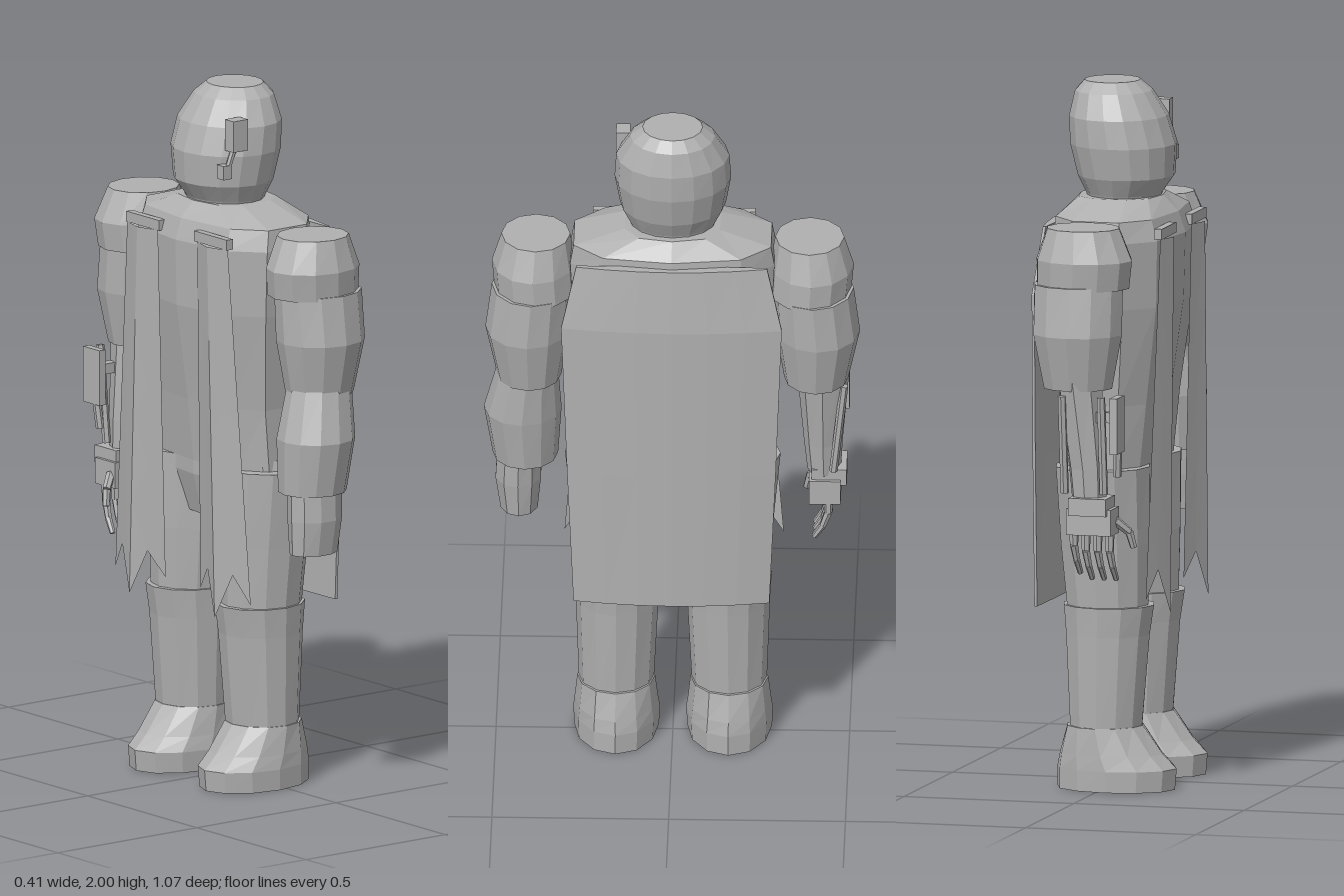
import * as THREE from 'three';

const grey = new THREE.MeshStandardMaterial({ color: 0xb0b0b0, flatShading: true });
grey.name = 'grey';
const greyCloth = grey.clone();
greyCloth.name = 'grey cloth';
greyCloth.side = THREE.DoubleSide;

// Closed skin over equal-length point rings, ordered bottom to top, each turning from +x to +z
function skin(rings) {
  const n = rings[0].length, pos = [], idx = [];
  rings.forEach(r => r.forEach(p => pos.push(...p)));
  for (let j = 0; j < rings.length - 1; j++) {
    for (let i = 0; i < n; i++) {
      const a = j * n + i, b = j * n + (i + 1) % n;
      idx.push(a, a + n, b, b, a + n, b + n);
    }
  }
  [0, rings.length - 1].forEach(j => {
    const c = pos.length / 3;
    pos.push(...[0, 1, 2].map(k => rings[j].reduce((s, p) => s + p[k], 0) / n));
    for (let i = 0; i < n; i++) {
      const a = j * n + i, b = j * n + (i + 1) % n;
      if (j === 0) idx.push(c, a, b); else idx.push(c, b, a);
    }
  });
  const g = new THREE.BufferGeometry();
  g.setAttribute('position', new THREE.Float32BufferAttribute(pos, 3));
  g.setIndex(idx);
  const flat = g.toNonIndexed();
  flat.computeVertexNormals();
  return flat;
}

// Rounded body from rows [y, x min, x max, z min, z max]
function loft(rows, sides = 12, power = 1) {
  const bend = v => Math.sign(v) * Math.abs(v) ** power;
  return skin(rows.map(([y, x0, x1, z0, z1]) => Array.from({ length: sides }, (_, i) => {
    const a = i / sides * Math.PI * 2;
    return [(x0 + x1) / 2 + (x1 - x0) / 2 * bend(Math.cos(a)), y,
      (z0 + z1) / 2 + (z1 - z0) / 2 * bend(Math.sin(a))];
  })));
}

// The same rows on the +z (s = 1) or -z (s = -1) side
const side = (rows, s) => rows.map(([y, x0, x1, z0, z1]) =>
  s > 0 ? [y, x0, x1, z0, z1] : [y, x0, x1, -z1, -z0]);

// Thin rod between two points
function rod(a, b, r0, r1 = r0, sides = 6) {
  const p = new THREE.Vector3(...a), d = new THREE.Vector3(...b).sub(p);
  const g = new THREE.CylinderGeometry(r1, r0, d.length(), sides);
  g.applyQuaternion(new THREE.Quaternion().setFromUnitVectors(new THREE.Vector3(0, 1, 0), d.clone().normalize()));
  return g.translate(...p.addScaledVector(d, 0.5).toArray());
}

const box = (w, h, d, x, y, z) => new THREE.BoxGeometry(w, h, d).translate(x, y, z);

export function createModel() {
  const model = new THREE.Group();
  const add = (name, geometry, material = grey) => {
    const m = new THREE.Mesh(geometry, material);
    m.name = name;
    model.add(m);
    return m;
  };

  // Helmet, facing -x
  add('helmet', loft([
    [1.64, -0.1, 0.09, -0.11, 0.11], [1.68, -0.115, 0.1, -0.125, 0.125],
    [1.73, -0.15, 0.125, -0.15, 0.15], [1.82, -0.155, 0.147, -0.165, 0.165],
    [1.9, -0.13, 0.15, -0.16, 0.16], [1.97, -0.085, 0.135, -0.12, 0.12],
    [2.0, -0.05, 0.108, -0.085, 0.085]], 16));
  // Rangefinder on the +z side of the helmet
  add('rangefinder', box(0.052, 0.09, 0.04, -0.077, 1.885, 0.142));
  add('rangefinderStem', rod([-0.085, 1.85, 0.142], [-0.11, 1.77, 0.135], 0.009));
  add('rangefinderPivot', box(0.03, 0.04, 0.03, -0.11, 1.78, 0.13));

  // Torso with sloped shoulders, then hips
  add('torso', loft([
    [0.92, -0.12, 0.14, -0.26, 0.26], [1.1, -0.14, 0.14, -0.26, 0.26],
    [1.38, -0.18, 0.165, -0.29, 0.29], [1.57, -0.185, 0.17, -0.3, 0.3],
    [1.63, -0.165, 0.165, -0.29, 0.29], [1.675, -0.12, 0.12, -0.14, 0.14]], 10, 0.75));
  add('hips', loft([
    [0.76, -0.09, 0.1, -0.2, 0.2], [0.88, -0.12, 0.135, -0.28, 0.28],
    [0.95, -0.12, 0.135, -0.27, 0.27]], 12));

  for (const s of [1, -1]) {
    // Legs
    add('thigh', loft(side([
      [0.5, -0.12, 0.115, 0.045, 0.27], [0.7, -0.125, 0.135, 0.03, 0.285],
      [0.92, -0.125, 0.147, 0.02, 0.305]], s)));
    add('shin', loft(side([
      [0.14, -0.1, 0.105, 0.055, 0.265], [0.44, -0.125, 0.12, 0.04, 0.275]], s)));
    add('kneeBand', loft(side([
      [0.44, -0.125, 0.12, 0.04, 0.275], [0.525, -0.138, 0.127, 0.037, 0.28]], s)));
    add('boot', loft(side([
      [0, -0.2, 0.145, 0.04, 0.28], [0.06, -0.205, 0.145, 0.037, 0.282],
      [0.1, -0.165, 0.137, 0.042, 0.278], [0.18, -0.105, 0.115, 0.05, 0.27]], s)));
    // Shoulders and upper arms
    add('shoulder', loft(side([
      [1.46, -0.13, 0.14, 0.27, 0.505], [1.54, -0.14, 0.14, 0.275, 0.512],
      [1.63, -0.1, 0.11, 0.29, 0.485]], s)));
    add('upperArm', loft(side([
      [1.175, -0.085, 0.115, 0.315, 0.497], [1.33, -0.115, 0.145, 0.29, 0.53],
      [1.47, -0.115, 0.145, 0.285, 0.512]], s)));

    // Hanging front strip: folded along the middle, notched at the hem
    const strip = new THREE.PlaneGeometry(1, 1, 4, 4), p = strip.attributes.position;
    const hem = [0.57, 0.64, 0.51, 0.64, 0.56];
    for (let i = 0; i < p.count; i++) {
      const u = p.getX(i), t = 0.5 - p.getY(i);
      const z = 0.16 + 0.035 * t + u * (0.14 + 0.09 * t);
      p.setXYZ(i, -0.197 + Math.abs(u) * 0.08 * (0.5 + 0.5 * t),
        THREE.MathUtils.lerp(1.58, hem[i % 5], t), s * z);
    }
    strip.computeVertexNormals();
    add('frontStrip', strip, greyCloth);
    add('stripClasp', box(0.022, 0.03, 0.15, -0.17, 1.595, s * 0.155));
  }

  // Armoured forearm and gauntlet on the +z side
  add('forearm', loft([
    [0.895, -0.12, 0.08, 0.325, 0.51], [1.05, -0.127, 0.1, 0.315, 0.535],
    [1.2, -0.085, 0.105, 0.325, 0.497]]));
  add('gauntlet', loft([
    [0.72, -0.105, 0.045, 0.38, 0.49], [0.82, -0.11, 0.055, 0.37, 0.505],
    [0.91, -0.11, 0.06, 0.37, 0.5]], 10));

  // Mechanical forearm and hand on the -z side
  add('mechanicalForearm', loft([
    [0.85, -0.075, 0.025, -0.475, -0.38], [0.95, -0.075, 0.035, -0.48, -0.37],
    [1.2, -0.06, 0.07, -0.5, -0.35]], 8));
  for (const x of [-0.075, 0.04]) {
    add('forearmPiston', rod([x, 0.88, -0.455], [x, 1.16, -0.485], 0.012));
  }
  add('forearmPlate', box(0.022, 0.16, 0.075, -0.115, 1.08, -0.46));
  add('plateBracket', box(0.06, 0.03, 0.03, -0.085, 1.1, -0.45));
  add('plateRod', rod([-0.115, 1.01, -0.45], [-0.11, 0.93, -0.44], 0.012));
  add('palm', box(0.13, 0.075, 0.09, -0.035, 0.8, -0.43));
  add('wristBlock', box(0.11, 0.05, 0.1, -0.035, 0.845, -0.442));
  for (let i = 0; i < 4; i++) {
    const x = -0.088 + i * 0.035, drop = i === 3 ? 0.015 : 0;
    const joints = [[x, 0.775, -0.44], [x, 0.715 + drop, -0.44],
      [x - 0.004, 0.67 + drop, -0.425], [x - 0.008, 0.63 + drop, -0.4]];
    for (let k = 0; k < 3; k++) {
      add('finger', rod(joints[k], joints[k + 1], 0.014 - k * 0.002, 0.012 - k * 0.002));
    }
  }
  add('thumb', rod([-0.095, 0.8, -0.41], [-0.13, 0.765, -0.385], 0.014, 0.012));
  add('thumb', rod([-0.13, 0.765, -0.385], [-0.14, 0.72, -0.375], 0.012, 0.01));

  // Cape: a shallow curved slab over the back
  const ts = [-1, -0.67, -0.33, 0, 0.33, 0.67, 1];
  add('cape', skin([
    [0.525, 0.277, 0.205], [0.95, 0.295, 0.205], [1.42, 0.312, 0.203], [1.61, 0.27, 0.182]
  ].map(([y, half, x]) => {
    const outer = ts.map(t => [x - 0.025 * t * t, y, t * half]);
    const inner = ts.map(t => [x - 0.036 + 0.003 * t * t, y, t * half]).reverse();
    return [...outer, ...inner];
  })));

  return model;
}
